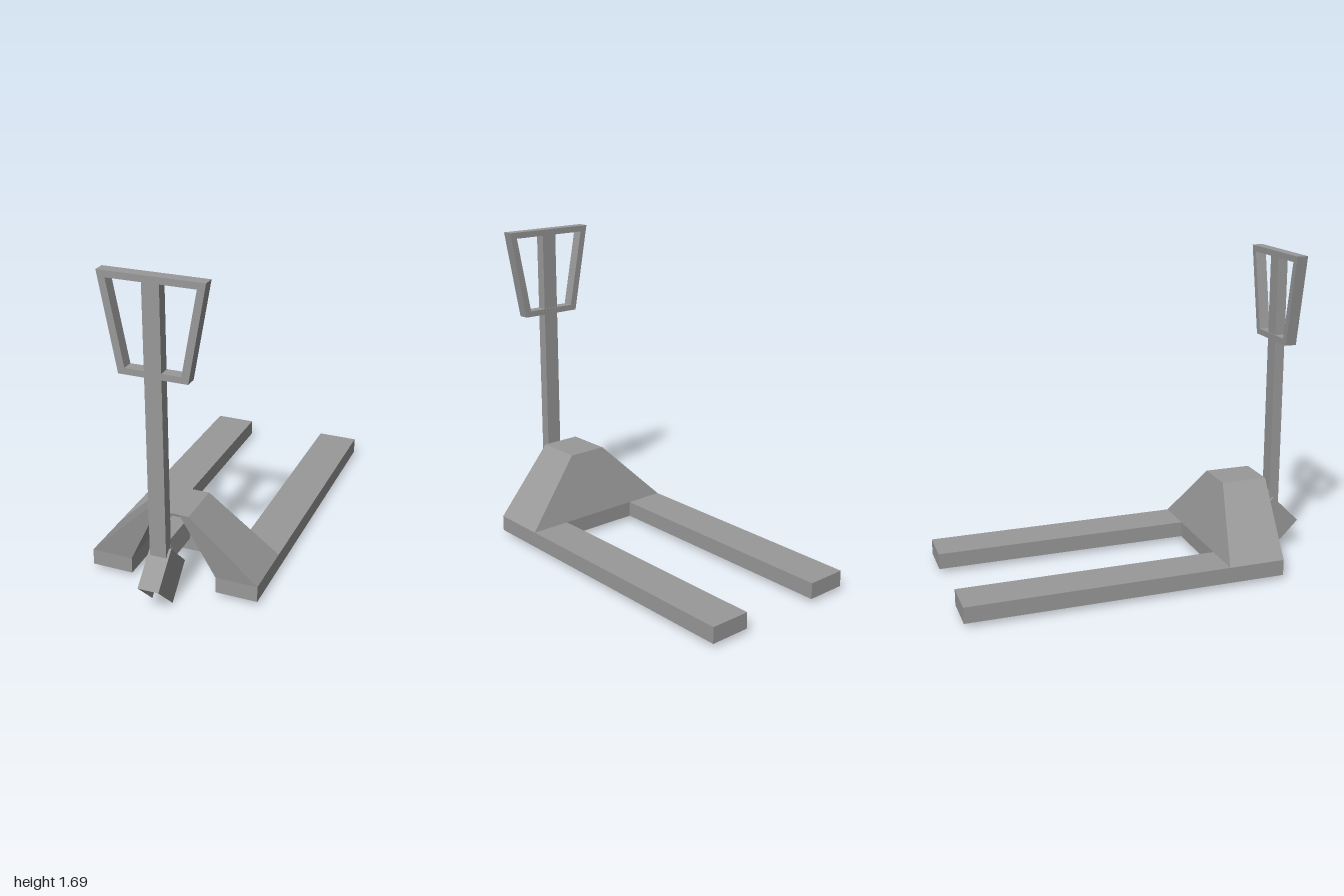
import * as THREE from 'three';

const GREY = 0x999999;
const solid = new THREE.MeshStandardMaterial({ color: GREY, flatShading: true });
const sheet = new THREE.MeshStandardMaterial({ color: GREY, flatShading: true, side: THREE.DoubleSide });

// Sheet-metal part made of four-cornered panels (corners run round each panel)
function panels(name, quads) {
  const pos = [];
  for (const [a, b, c, d] of quads) pos.push(...a, ...b, ...c, ...a, ...c, ...d);
  const geo = new THREE.BufferGeometry();
  geo.setAttribute('position', new THREE.Float32BufferAttribute(pos, 3));
  geo.computeVertexNormals();
  const mesh = new THREE.Mesh(geo, sheet);
  mesh.name = name;
  return mesh;
}

// Trapezoid outline, symmetric about x = 0, as a Shape or a hole Path
function trapezoid(Kind, yLow, halfLow, yHigh, halfHigh) {
  return new Kind([
    [-halfLow, yLow], [halfLow, yLow], [halfHigh, yHigh], [-halfHigh, yHigh],
  ].map(([x, y]) => new THREE.Vector2(x, y)));
}

// Flat-sided bar with the given outline, running from zBack to zFront
function bar(name, shape, zBack, zFront) {
  const geo = new THREE.ExtrudeGeometry(shape, { depth: zFront - zBack, bevelEnabled: false });
  const mesh = new THREE.Mesh(geo, solid);
  mesh.position.z = zBack;
  mesh.name = name;
  return mesh;
}

const IN = 0.23, OUT = 0.45;          // fork edges in x
const LOW = 0.026, DECK = 0.112, TOP = 0.455;
const TIP = -1, BACK = 0.405, FRONT = 0.715;
const TOP_BACK = 0.505, TOP_FRONT = 0.76, TOP_HALF = 0.11, SLOT = 0.06;

// Fork channel, open underneath; its deck stops where the housing begins
function fork(s) {
  const wall = (x) => [[x, LOW, TIP], [x, LOW, FRONT], [x, DECK, FRONT], [x, DECK, TIP]];
  const end = (z) => [[s * IN, LOW, z], [s * OUT, LOW, z], [s * OUT, DECK, z], [s * IN, DECK, z]];
  return panels(s > 0 ? 'leftFork' : 'rightFork', [
    wall(s * IN), wall(s * OUT), end(TIP), end(FRONT),
    [[s * IN, DECK, TIP], [s * OUT, DECK, TIP], [s * OUT, DECK, BACK], [s * IN, DECK, BACK]],
  ]);
}

// Hollow sloped housing bridging the forks, with a tapering slot in front
function housing() {
  const quads = [
    // roof, rear slope and rear skirt between the forks
    [[-TOP_HALF, TOP, TOP_BACK], [TOP_HALF, TOP, TOP_BACK], [TOP_HALF, TOP, TOP_FRONT], [-TOP_HALF, TOP, TOP_FRONT]],
    [[-OUT, DECK, BACK], [OUT, DECK, BACK], [TOP_HALF, TOP, TOP_BACK], [-TOP_HALF, TOP, TOP_BACK]],
    [[-IN, LOW, BACK], [IN, LOW, BACK], [IN, DECK, BACK], [-IN, DECK, BACK]],
  ];
  for (const s of [1, -1]) {
    quads.push(
      // outer slope, front strip and inner wall of the slot
      [[s * OUT, DECK, BACK], [s * OUT, DECK, FRONT], [s * TOP_HALF, TOP, TOP_FRONT], [s * TOP_HALF, TOP, TOP_BACK]],
      [[s * IN, DECK, FRONT], [s * OUT, DECK, FRONT], [s * TOP_HALF, TOP, TOP_FRONT], [s * SLOT, TOP, TOP_FRONT]],
      [[s * IN, DECK, BACK], [s * IN, DECK, FRONT], [s * SLOT, TOP, TOP_FRONT], [s * SLOT, TOP, TOP_BACK]],
    );
  }
  return panels('housing', quads);
}

// Diamond-shaped wheel cover: two cheeks and two upper faces, open below
function wheelCover() {
  const y = 0.156, z = 0.845, r = 0.155, w = 0.055;
  const ring = (x) => [[x, y, z + r], [x, y + r, z], [x, y, z - r], [x, y - r, z]];
  const a = ring(-w), b = ring(w);
  return panels('wheelCover', [a, b, [a[0], b[0], b[1], a[1]], [a[1], b[1], b[2], a[2]]]);
}

// Tapered ring handle
function handle() {
  const shape = trapezoid(THREE.Shape, 1.208, 0.173, 1.69, 0.263);
  shape.holes.push(trapezoid(THREE.Path, 1.24, 0.14, 1.657, 0.22));
  return bar('handle', shape, 0.82, 0.88);
}

export function createModel() {
  const group = new THREE.Group();
  group.name = 'palletTruck';
  group.add(
    fork(1), fork(-1), housing(), wheelCover(), handle(),
    bar('tillerPost', trapezoid(THREE.Shape, 0.272, 0.043, 1.67, 0.043), 0.824, 0.88),
    bar('tillerLink', trapezoid(THREE.Shape, 0.243, 0.054, 0.352, 0.042), 0.62, 0.828),
  );
  return group;
}
